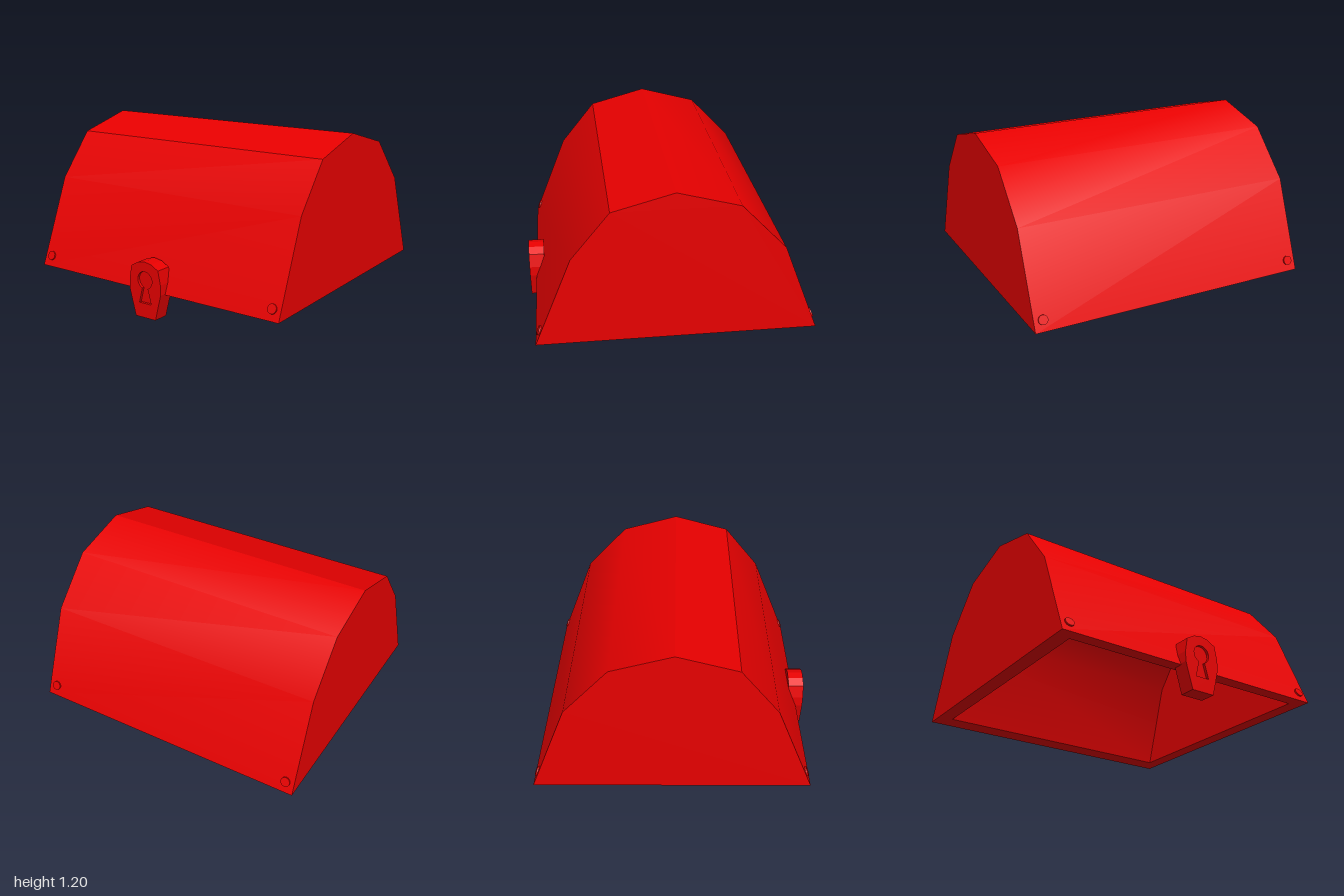
import * as THREE from 'three';
import { mergeGeometries } from 'three/addons/utils/BufferGeometryUtils.js';

const red = new THREE.MeshStandardMaterial({ color: 0xe80000 });
const flatRed = new THREE.MeshStandardMaterial({ color: 0xe80000, flatShading: true });

// Lid cross-sections as [z, y], from front bottom over the ridge to back bottom
const BASE = 0.173;
const outer = [[0.897, BASE], [0.652, 0.78], [0.402, 1.088], [0, 1.198], [-0.408, 1.088], [-0.702, 0.78], [-0.939, BASE]];
const inner = [[0.81, BASE], [0.595, 0.765], [0.375, 1.06], [0, 1.165], [-0.365, 1.06], [-0.61, 0.765], [-0.8, BASE]];
const OUT_X = 0.996, IN_X = 0.895;

// Smooth-shaded strip along x; inward flips the faces
function band(profile, h, inward = false) {
  const pos = [], index = [];
  profile.forEach(([z, y], i) => {
    pos.push(-h, y, z, h, y, z);
    if (i === 0) return;
    const a = 2 * i - 2, b = a + 1, c = a + 2, d = a + 3;
    if (inward) index.push(a, d, b, a, c, d);
    else index.push(a, b, d, a, d, c);
  });
  const g = new THREE.BufferGeometry();
  g.setAttribute('position', new THREE.Float32BufferAttribute(pos, 3));
  g.setIndex(index);
  g.computeVertexNormals();
  return g;
}

// Flat end wall at x, facing +x or -x
function endWall(profile, x, facing) {
  const shape = new THREE.Shape(profile.map(([z, y]) => new THREE.Vector2(-facing * z, y)));
  return new THREE.ShapeGeometry(shape).rotateY(facing * Math.PI / 2).translate(x, 0, 0);
}

// Arched walls and both ends, creased at the front shoulder and the ridge
function vault(profile, h, inward = false) {
  const facing = inward ? -1 : 1;
  return mergeGeometries([
    band(profile.slice(0, 3), h, inward),
    band(profile.slice(2, 4), h, inward),
    band(profile.slice(3), h, inward),
    endWall(profile, h, facing),
    endWall(profile, -h, -facing),
  ].map(g => {
    g.deleteAttribute('uv');
    return g;
  }));
}

// Rectangle outline in x and z for the rim
function rectangle(Type, h, front, back) {
  return new Type([[-h, back], [h, back], [h, front], [-h, front]].map(p => new THREE.Vector2(...p)));
}

function mesh(name, geometry, material = red) {
  const m = new THREE.Mesh(geometry, material);
  m.name = name;
  return m;
}

function createLid() {
  const lid = new THREE.Group();
  lid.name = 'lid';
  lid.add(mesh('lidShell', vault(outer, OUT_X)), mesh('lidInside', vault(inner, IN_X, true)));

  // Downward-facing rim
  const rim = rectangle(THREE.Shape, OUT_X, outer[0][0], outer[6][0]);
  rim.holes.push(rectangle(THREE.Path, IN_X, inner[0][0], inner[6][0]));
  lid.add(mesh('lidRim', new THREE.ShapeGeometry(rim).rotateX(Math.PI / 2).translate(0, BASE, 0)));

  // Rivets in the lower corners, square to the sloping walls
  for (const side of [-1, 1]) {
    for (const face of [1, -1]) {
      const rivet = mesh(face > 0 ? 'frontRivet' : 'backRivet', new THREE.CylinderGeometry(0.032, 0.032, 0.022, 16));
      rivet.position.set(side * 0.935, 0.243, face > 0 ? 0.868 : -0.911);
      rivet.rotation.x = face * (Math.PI / 2 - 0.38);
      lid.add(rivet);
    }
  }
  lid.rotation.y = -0.005;
  return lid;
}

function createLock() {
  const lock = new THREE.Group();
  lock.name = 'lock';

  // Shield outline: right half mirrored to the left
  const half = [[0.083, 0], [0.13, 0.18], [0.13, 0.25], [0.112, 0.345], [0.055, 0.377], [0, 0.387]];
  const left = half.slice(0, -1).reverse().map(([x, y]) => [-x, y]);
  const outline = () => new THREE.Shape([...half, ...left].map(p => new THREE.Vector2(...p)));

  // Keyhole: round top and flared slot
  const keyhole = new THREE.Path();
  keyhole.moveTo(-0.05, 0.1);
  keyhole.lineTo(-0.022, 0.206);
  keyhole.absarc(0, 0.26, 0.06, Math.PI * 1.5 - 0.38, -Math.PI / 2 + 0.38, true);
  keyhole.lineTo(0.05, 0.1);
  keyhole.closePath();

  const plate = outline();
  plate.holes.push(keyhole);
  const options = depth => ({ depth, bevelEnabled: false, curveSegments: 8 });
  const body = mesh('lockBody', new THREE.ExtrudeGeometry(outline(), options(0.092)), flatRed);
  const front = mesh('keyholePlate', new THREE.ExtrudeGeometry(plate, options(0.018)), flatRed);
  front.position.z = 0.092;
  lock.add(body, front);
  lock.position.set(-0.004, 0, 0.834);
  return lock;
}

export function createModel() {
  const model = new THREE.Group();
  model.name = 'chestLid';
  model.add(createLid(), createLock());
  return model;
}
